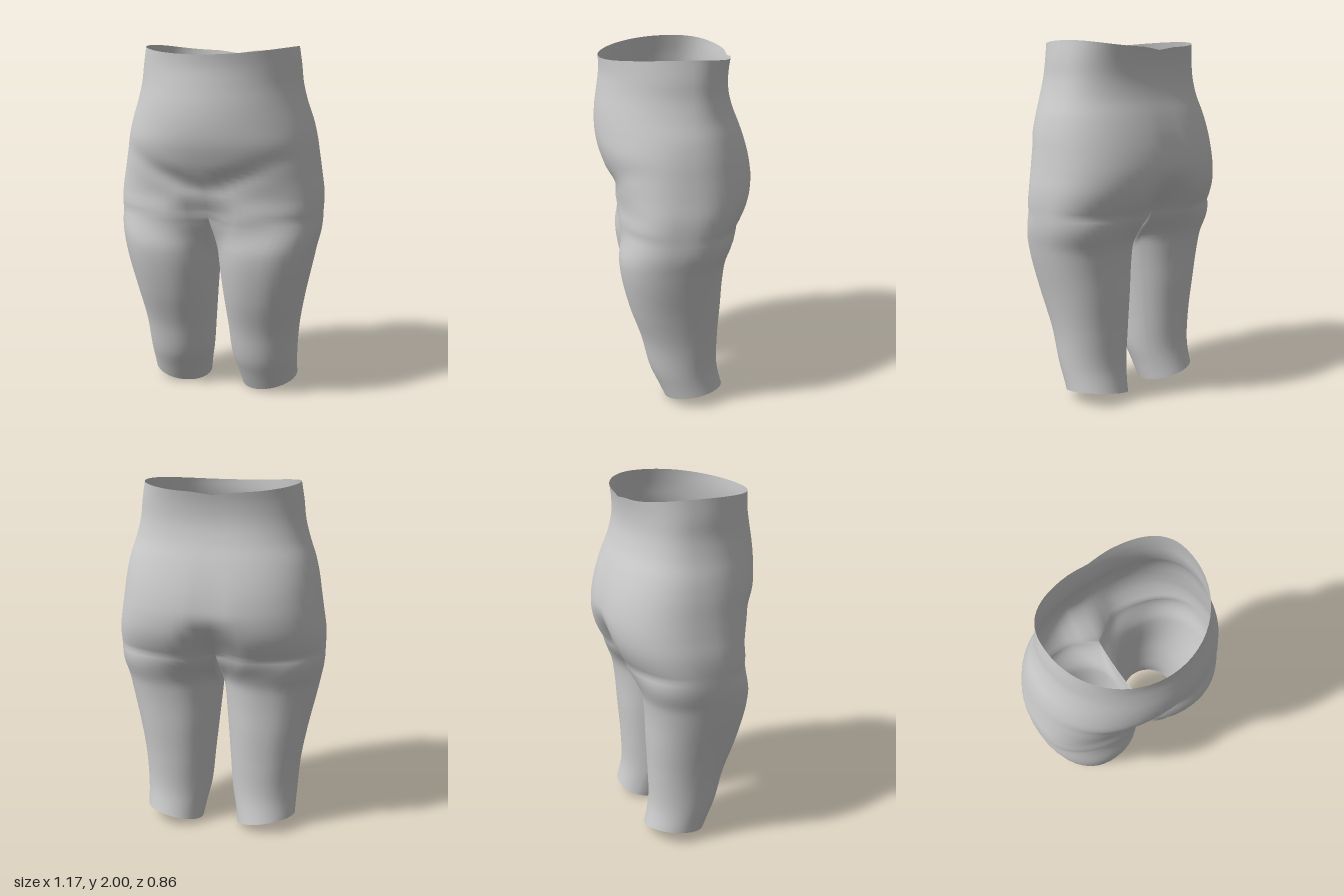
import * as THREE from 'three';

// Profile rows: height, outer half width, front z, back z, inner thigh x, roundness front, roundness back
const PROFILE = [
  [0.00, 0.445, 0.065, -0.285, 0.110, 2.0, 2.0],
  [0.10, 0.445, 0.110, -0.255, 0.090, 2.0, 2.0],
  [0.20, 0.450, 0.155, -0.235, 0.068, 2.0, 2.0],
  [0.40, 0.465, 0.205, -0.235, 0.050, 2.1, 2.1],
  [0.60, 0.500, 0.270, -0.245, 0.033, 2.2, 2.2],
  [0.80, 0.545, 0.315, -0.255, 0.014, 2.2, 2.2],
  [0.90, 0.565, 0.325, -0.270, 0.006, 2.2, 2.2],
  [1.00, 0.580, 0.330, -0.305, 0.003, 2.3, 2.3],
  [1.10, 0.587, 0.330, -0.370, 0.003, 2.7, 2.4],
  [1.20, 0.585, 0.328, -0.415, 0.003, 2.6, 2.4],
  [1.30, 0.570, 0.355, -0.430, 0.003, 2.4, 2.4],
  [1.40, 0.555, 0.395, -0.420, 0.003, 2.2, 2.4],
  [1.50, 0.540, 0.425, -0.395, 0.003, 2.1, 2.4],
  [1.60, 0.517, 0.435, -0.360, 0.003, 2.0, 2.4],
  [1.70, 0.483, 0.430, -0.320, 0.003, 2.0, 2.4],
  [1.80, 0.457, 0.415, -0.295, 0.003, 2.0, 2.5],
  [1.90, 0.445, 0.402, -0.295, 0.003, 2.0, 2.5],
  [2.00, 0.428, 0.406, -0.312, 0.003, 2.0, 2.5],
];
const spline = new THREE.CubicInterpolant(
  PROFILE.map(r => r[0]), PROFILE.flatMap(r => r.slice(1)), 6, new Float32Array(6));
const profile = y => [...spline.evaluate(THREE.MathUtils.clamp(y, 0, 2))];

const lerp = THREE.MathUtils.lerp;
const bell = (v, width) => Math.exp(-((v / width) ** 2));
const power = (v, n) => Math.sign(v) * Math.abs(v) ** (2 / n);

const RING = 64, HALF = RING / 2, INNER = 16, LEG_RING = HALF + INNER;
const TORSO_ROWS = 40, LEG_ROWS = 44, SPLIT = 1.08;

// Point on the torso outline at a height and angle (90 degrees = front)
function torsoPoint(y, t) {
  const [w, front, back, , nf, nb] = profile(y);
  const cz = -0.02, s = Math.sin(t), n = s > 0 ? nf : nb;
  const x = w * power(Math.cos(t), n);
  let z = cz + (s > 0 ? front - cz : cz - back) * power(s, n);
  const low = 1 - THREE.MathUtils.smoothstep(y, SPLIT, s > 0 ? 1.22 : 1.34);
  if (s > 0) {
    z -= 0.075 * low * bell(x, 0.13) * s;                                  // between the thighs
    z -= 0.022 * bell(y - 1.22 - 0.45 * Math.abs(x), 0.06) * s * bell(x, 0.45); // groin fold
  } else {
    z -= 0.10 * low * bell(x, 0.11) * s;                                   // between the buttocks
    z -= 0.012 * bell(y - 1.35, 0.2) * bell(x, 0.06) * s;
  }
  return [x, y, z];
}

// Point on the left leg outline
function legPoint(y, t) {
  const [w, front, back, inner, nf, nb] = profile(y);
  const s = Math.sin(t), n = Math.min(s > 0 ? nf : nb, 2.3);
  return [
    (w + inner) / 2 + (w - inner) / 2 * power(Math.cos(t), n), y,
    (front + back) / 2 + (front - back) / 2 * power(s, n),
  ];
}

export function createModel() {
  const points = [];
  const add = p => points.push(p) - 1;

  // Torso rings from the waist edge down to the leg split
  const torsoRows = [];
  for (let i = 0; i <= TORSO_ROWS; i++) {
    torsoRows.push(Array.from({ length: RING }, (_, j) => {
      const t = Math.PI / 2 - j / RING * Math.PI * 2;
      const top = 1.965 + 0.035 * Math.cos(t) ** 2 - 0.015 * bell(j - HALF, 1);
      return add(torsoPoint(lerp(top, SPLIT, i / TORSO_ROWS), t));
    }));
  }
  const lastRow = torsoRows[TORSO_ROWS];

  // Crotch line shared by both legs, back to front
  const zBack = points[lastRow[HALF]][2], zFront = points[lastRow[0]][2];
  const crotch = [];
  for (let k = 1; k < INNER; k++) {
    const v = k / INNER;
    crotch.push(add([0, SPLIT - 0.085 * Math.sin(Math.PI * v) ** 0.8, lerp(zBack, zFront, v)]));
  }

  // Leg rings: the half torso outline plus crotch line flows into a closed leg
  function legRows(side) {
    const start = [];
    for (let j = 0; j <= HALF; j++) start.push(lastRow[(side * j + RING) % RING]);
    start.push(...crotch);
    const rows = [start];
    for (let i = 1; i <= LEG_ROWS; i++) {
      const u = i / LEG_ROWS;
      const blend = THREE.MathUtils.smoothstep(u, -0.03, 0.2);
      rows.push(start.map((id, j) => {
        const deg = j <= HALF ? 150 - j * 300 / HALF : -150 - (j - HALF) * 60 / INNER;
        const t = THREE.MathUtils.degToRad(deg);
        const hem = 0.041 + 0.032 * Math.cos(t) - 0.025 * Math.sin(t);
        const [sx, sy, sz] = points[id];
        const y = lerp(sy, hem, u);
        const [x, , z] = legPoint(y, t);
        return add([side * lerp(Math.abs(sx), x, blend), y, lerp(sz, z, blend)]);
      }));
    }
    return rows;
  }

  // Quads between successive closed rings
  function skin(rows, flip) {
    const index = [];
    for (let i = 0; i < rows.length - 1; i++) {
      const up = rows[i], down = rows[i + 1], n = up.length;
      for (let j = 0; j < n; j++) {
        const k = (j + 1) % n;
        const a = up[j], b = up[k], c = down[j], d = down[k];
        if (flip) index.push(a, d, c, a, b, d);
        else index.push(a, c, d, a, d, b);
      }
    }
    return index;
  }

  const parts = {
    torso: skin(torsoRows, false),
    leftLeg: skin(legRows(1), false),
    rightLeg: skin(legRows(-1), true),
  };

  // One set of smooth normals across all parts, so no seam shows
  const whole = new THREE.BufferGeometry();
  whole.setAttribute('position', new THREE.Float32BufferAttribute(points.flat(), 3));
  whole.setIndex(Object.values(parts).flat());
  whole.computeVertexNormals();

  const material = new THREE.MeshStandardMaterial({ color: 0xcccccc, side: THREE.DoubleSide });
  const group = new THREE.Group();
  group.name = 'lowerBody';
  for (const [name, index] of Object.entries(parts)) {
    const geometry = new THREE.BufferGeometry();
    geometry.setAttribute('position', whole.getAttribute('position'));
    geometry.setAttribute('normal', whole.getAttribute('normal'));
    geometry.setIndex(index);
    const mesh = new THREE.Mesh(geometry, material);
    mesh.name = name;
    group.add(mesh);
  }
  return group;
}
